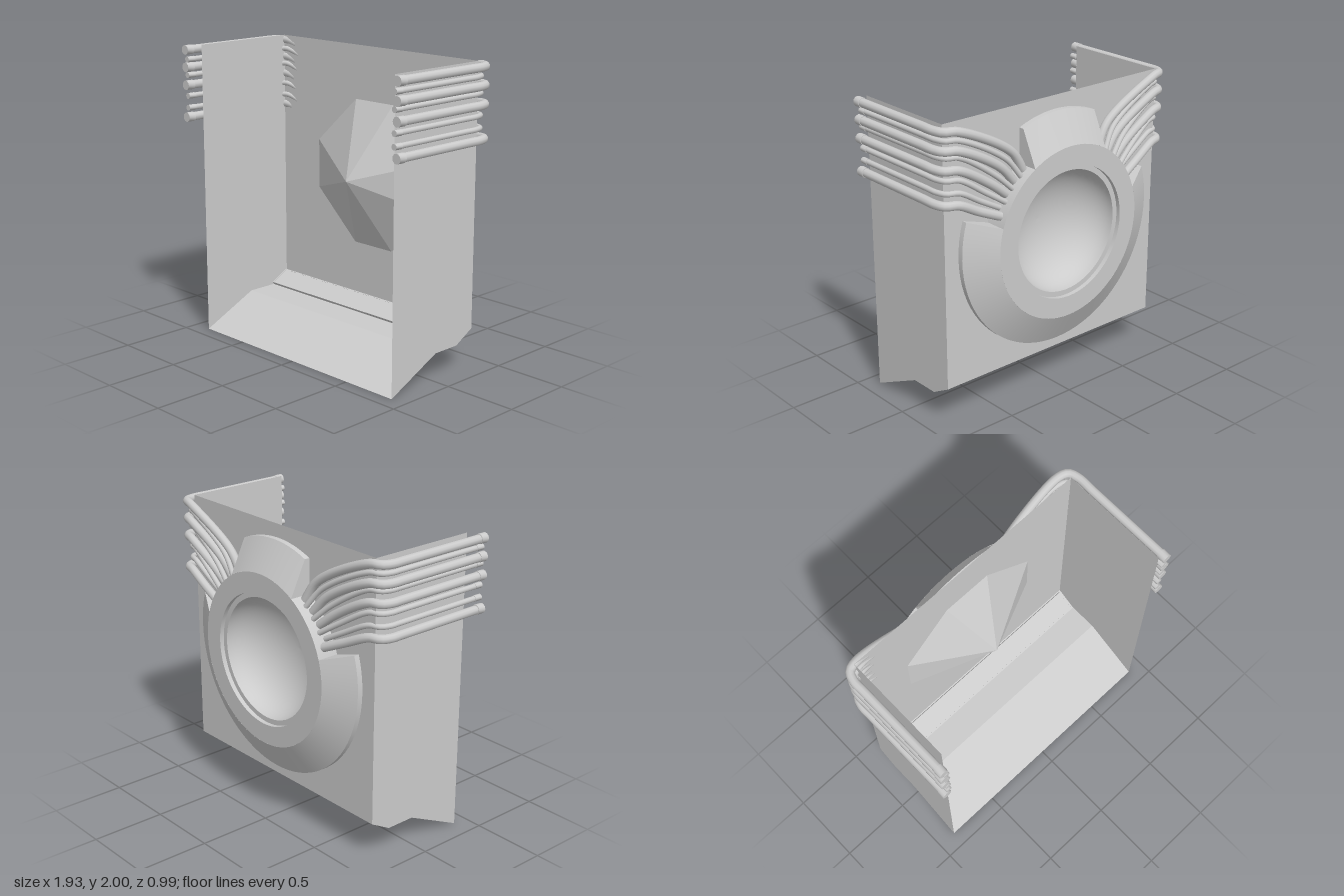
import * as THREE from 'three';
import { toCreasedNormals } from 'three/addons/utils/BufferGeometryUtils.js';

const CX = 0.01, CY = 1.133;          // centre of the round fitting
const HALF = 0.88, BACK = -0.345;     // housing half width, back wall z
const mat = new THREE.MeshStandardMaterial({ color: 0xcccccc, side: THREE.DoubleSide });
const V = (x, y, z) => new THREE.Vector3(x, y, z);

function add(parent, name, geometry) {
  const mesh = new THREE.Mesh(geometry, mat);
  mesh.name = name;
  parent.add(mesh);
  return mesh;
}

// Solid skinned over a row of equal four-cornered cross-sections, with end caps
function loft(sections) {
  const pos = [];
  const quad = (a, b, c, d) => [a, b, c, a, c, d].forEach(p => pos.push(p.x, p.y, p.z));
  for (let i = 0; i + 1 < sections.length; i++) {
    const s = sections[i], t = sections[i + 1];
    for (let j = 0; j < 4; j++) quad(s[j], s[(j + 1) % 4], t[(j + 1) % 4], t[j]);
  }
  const last = sections[sections.length - 1];
  quad(...[...sections[0]].reverse());
  quad(...last);
  const g = new THREE.BufferGeometry();
  g.setAttribute('position', new THREE.Float32BufferAttribute(pos, 3));
  return toCreasedNormals(g, 0.5);
}

// Revolved profile of [radius, distance behind z = 0]
function revolve(profile) {
  const g = new THREE.LatheGeometry(profile.map(p => new THREE.Vector2(...p)), 64);
  g.rotateX(-Math.PI / 2).translate(CX, CY, 0);
  return g;
}

function rect(x0, y0, x1, y1) {
  return [[x0, y0], [x1, y0], [x1, y1], [x0, y1]].map(p => new THREE.Vector2(...p));
}

function buildHousing() {
  const g = new THREE.Group();
  g.name = 'housing';

  // Side walls share one outline in z and y
  const outline = [[0.4, 0], [0.4, 2], [BACK, 2], [BACK, 0.27], [-0.2, 0.19], [0, 0.19]];
  const side = new THREE.ShapeGeometry(new THREE.Shape(outline.map(p => new THREE.Vector2(...p))));
  side.rotateY(-Math.PI / 2);
  for (const s of [-1, 1]) add(g, s > 0 ? 'leftWall' : 'rightWall', side).position.x = CX + s * HALF;

  // Back wall, open behind the bowl
  const wall = new THREE.Shape(rect(CX - HALF, 0.27, CX + HALF, 2));
  wall.holes.push(new THREE.Path().absarc(CX, CY, 0.46, 0, Math.PI * 2, true));
  add(g, 'backWall', new THREE.ShapeGeometry(wall, 32)).position.z = BACK;

  // Front ramp and flat floor
  const ramp = add(g, 'frontRamp', new THREE.PlaneGeometry(2 * HALF, Math.hypot(0.4, 0.19)));
  ramp.position.set(CX, 0.095, 0.2);
  ramp.rotation.x = -Math.atan2(0.4, 0.19);
  const floor = add(g, 'floor', new THREE.PlaneGeometry(2 * HALF, 0.2));
  floor.position.set(CX, 0.19, -0.1);
  floor.rotation.x = -Math.PI / 2;

  // Rear slope with a long recessed panel
  const slope = new THREE.Group();
  slope.name = 'rearSlope';
  slope.position.set(CX, 0.19, -0.2);
  slope.rotation.x = -Math.atan2(0.145, 0.08);
  g.add(slope);
  const len = Math.hypot(0.145, 0.08), w = HALF - 0.02;
  const face = new THREE.Shape(rect(-HALF, 0, HALF, len));
  face.holes.push(new THREE.Path(rect(-w, 0.016, w, len - 0.016)));
  add(slope, 'slopeFace', new THREE.ShapeGeometry(face));
  const rim = new THREE.Shape(rect(-w - 0.008, 0.008, w + 0.008, len - 0.008));
  rim.holes.push(new THREE.Path(rect(-w, 0.016, w, len - 0.016)));
  add(slope, 'recessRim', new THREE.ExtrudeGeometry(rim, { depth: 0.02, bevelEnabled: false }));
  add(slope, 'recessPanel', new THREE.PlaneGeometry(2 * w, len - 0.03)).position.set(0, len / 2, 0.019);
  return g;
}

function buildFitting() {
  const g = new THREE.Group();
  g.name = 'roundFitting';

  // Raised ring and bowl
  add(g, 'ring', toCreasedNormals(revolve(
    [[0.575, 0.347], [0.575, 0.495], [0.44, 0.495], [0.44, 0.465], [0.405, 0.465]]), 0.5));
  const bowl = [];
  for (let i = 0; i <= 16; i++) {
    const t = (i / 16) * Math.PI / 2;
    bowl.push([0.41 * Math.cos(t), 0.465 - 0.28 * Math.sin(t)]);
  }
  add(g, 'bowl', revolve(bowl));

  // Sloped collar: a long lower arc and a straight-sided top block
  const profile = [[0.57, -0.349], [0.575, -0.495], [0.78, -0.385], [0.78, -0.349]];
  const arc = [], block = [];
  for (let i = 0; i <= 48; i++) {
    const a = THREE.MathUtils.degToRad(162.5 + 215 * i / 48);
    arc.push(profile.map(([r, z]) => V(CX + r * Math.cos(a), CY + r * Math.sin(a), z)));
  }
  for (let i = 0; i <= 12; i++) {
    const x = 0.295 - 0.59 * i / 12;
    block.push(profile.map(([r, z]) => V(CX + x, CY + Math.sqrt(r * r - x * x), z)));
  }
  add(g, 'lowerCollar', loft(arc));
  add(g, 'topBlock', loft(block));

  // Faceted eight-sided cone covering the bowl on the inside
  const base = [[0.53, 0.17], [0.17, 0.5], [-0.17, 0.5], [-0.53, 0.17],
    [-0.53, -0.17], [-0.17, -0.5], [0.17, -0.5], [0.53, -0.17]];
  const pos = [];
  base.forEach(([x, y], i) => {
    const [nx, ny] = base[(i + 1) % 8];
    pos.push(CX, CY, -0.08, CX + x, CY + y, BACK, CX + nx, CY + ny, BACK);
  });
  const cone = new THREE.BufferGeometry();
  cone.setAttribute('position', new THREE.Float32BufferAttribute(pos, 3));
  cone.computeVertexNormals();
  add(g, 'facetedCone', cone);
  return g;
}

// Cables run along a side wall, round the rear corner and into the ring
function buildCables(s) {
  const g = new THREE.Group();
  g.name = s > 0 ? 'leftCables' : 'rightCables';
  const rows = [[1.967, 1], [1.905, 0], [1.85, 1], [1.8, 0], [1.73, 1], [1.66, 0], [1.58, 0], [1.513, 1]];
  const front = s > 0 ? 0.42 : 0.48;
  rows.forEach(([y, big], i) => {
    const r = big ? 0.029 : 0.018;
    const x = big ? 0.935 : 0.915;
    const zc = (s > 0 ? -0.415 : -0.365) + (big ? 0 : 0.015);
    const a = THREE.MathUtils.degToRad(56 - 32 * i / 7);
    const zEnd = -0.405 - (i % 2) * 0.03;
    const at = (rad, z) => V(CX + s * rad * Math.cos(a), CY + rad * Math.sin(a), z);
    const path = new THREE.CatmullRomCurve3([
      V(s * x, y, front), V(s * x, y, 0.1), V(s * x, y, -0.2), V(s * x, y, zc + 0.09),
      V(s * (x - 0.025), y, zc + 0.025), V(s * (x - 0.1), y - 0.005, zc),
      at(0.74, (zc + zEnd) / 2), at(0.55, zEnd)]);
    add(g, 'cable' + (i + 1), new THREE.TubeGeometry(path, 60, r, 10));
    // Plug at the front end
    const plug = new THREE.CylinderGeometry(r * 1.12, r * 1.12, 0.055, 12).rotateX(Math.PI / 2);
    add(g, 'plug' + (i + 1), toCreasedNormals(plug, 0.7)).position.set(s * x, y, front - 0.017);
  });
  return g;
}

export function createModel() {
  const model = new THREE.Group();
  model.name = 'wallUnit';
  model.add(buildHousing(), buildFitting(), buildCables(-1), buildCables(1));
  return model;
}
